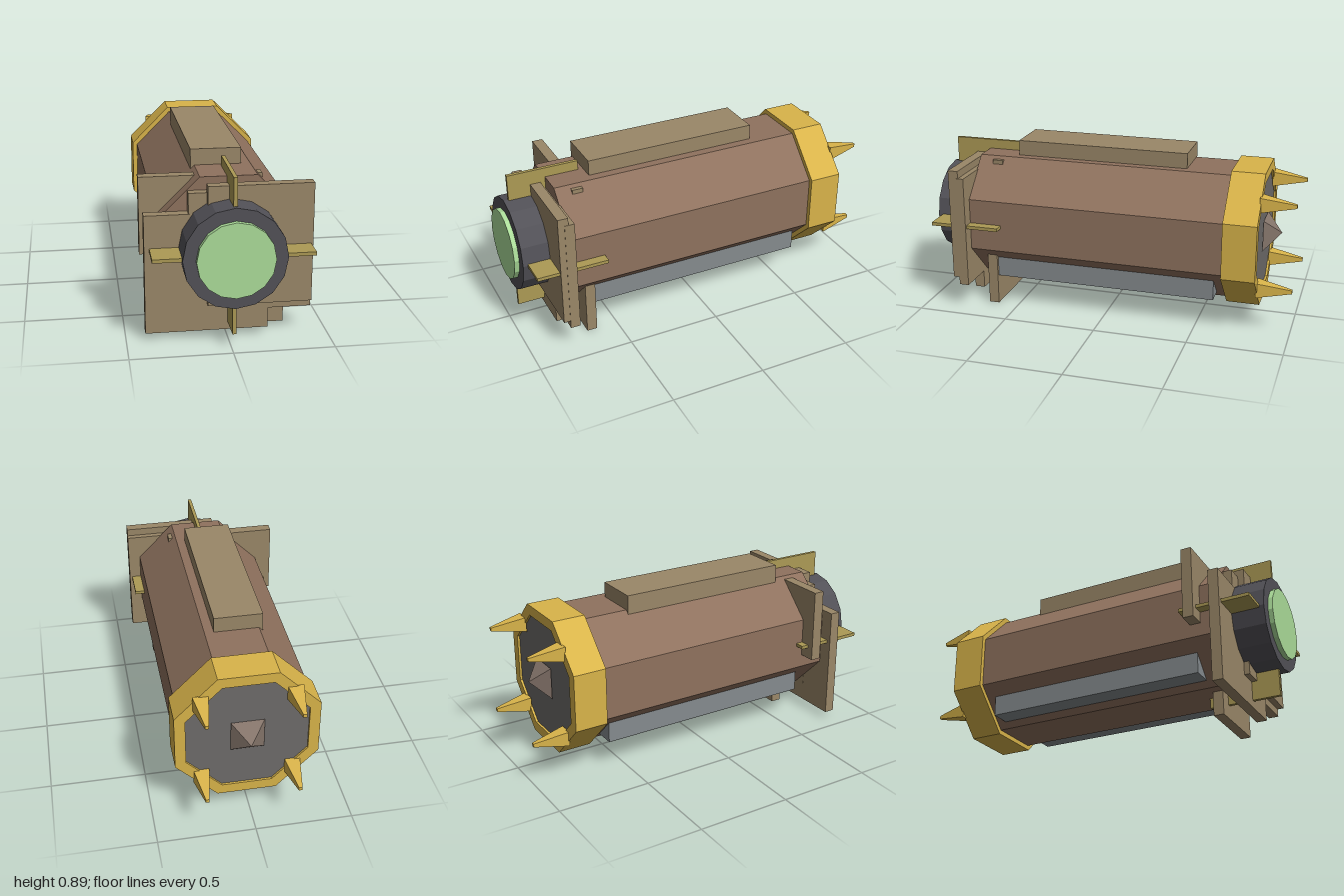
import * as THREE from 'three';

const CX = 0.012, CY = 0.47; // long axis of the barrel

const COLORS = {
  brown: 0x8f725e, tan: 0x9a8768, gold: 0xd9b44a, brass: 0xac9a55,
  dark: 0x525157, green: 0xacdd9a, endGrey: 0x6e6c6a, rail: 0x858b8e, stone: 0x84746a,
};
const materials = {};
for (const key in COLORS) {
  materials[key] = new THREE.MeshStandardMaterial({ color: COLORS[key], flatShading: true });
}

export function createModel() {
  const model = new THREE.Group();

  const add = (name, geometry, color) => {
    const mesh = new THREE.Mesh(geometry, materials[color]);
    mesh.name = name;
    model.add(mesh);
    return mesh;
  };

  // Box given by its limits on each axis
  const box = (name, color, [x0, x1], [y0, y1], [z0, z1]) => {
    const mesh = add(name, new THREE.BoxGeometry(x1 - x0, y1 - y0, z1 - z0), color);
    mesh.position.set((x0 + x1) / 2, (y0 + y1) / 2, (z0 + z1) / 2);
  };

  // Prism or frustum along z; flat = true puts faces (not corners) on the axes
  const prism = (name, color, sides, rFront, rBack, zFront, zBack, flat, x = CX, y = CY) => {
    const k = flat ? 1 / Math.cos(Math.PI / sides) : 1;
    const start = flat ? Math.PI / sides : 0;
    const geometry = new THREE.CylinderGeometry(rFront * k, rBack * k, zFront - zBack, sides, 1, false, start);
    geometry.rotateX(Math.PI / 2);
    add(name, geometry, color).position.set(x, y, (zFront + zBack) / 2);
  };

  // Octagonal barrel, recessed end disc and central point
  prism('barrel', 'brown', 8, 0.34, 0.34, 0.75, -0.7, true);
  prism('endDisc', 'endGrey', 8, 0.312, 0.312, -0.69, -0.81, true);
  prism('endPoint', 'stone', 4, 0.085, 0, -0.815, -0.905, true);

  // Gold collar around the back end
  const octagon = (Type, apothem) => {
    const shape = new Type();
    const r = apothem / Math.cos(Math.PI / 8);
    shape.setFromPoints(Array.from({ length: 8 }, (_, i) => {
      const a = Math.PI / 8 + i * Math.PI / 4;
      return new THREE.Vector2(Math.cos(a) * r, Math.sin(a) * r);
    }));
    shape.closePath();
    return shape;
  };
  const collar = octagon(THREE.Shape, 0.365);
  collar.holes.push(octagon(THREE.Path, 0.31));
  add('collar', new THREE.ExtrudeGeometry(collar, { depth: 0.177, bevelEnabled: false }), 'gold')
    .position.set(CX, CY, -0.822);

  // Four spikes on the collar
  for (const sx of [-1, 1]) {
    for (const sy of [-1, 1]) {
      prism('spike', 'gold', 4, 0.04, 0.009, -0.815, -1, true, CX + sx * 0.233, CY + sy * 0.233);
    }
  }

  // Top block and the two rails under the barrel
  box('topBlock', 'tan', [-0.148, 0.105], [0.78, 0.892], [-0.4, 0.543]);
  for (const s of [-1, 1]) {
    const edges = [CX + s * 0.1, CX + s * 0.281].sort((a, b) => a - b);
    box('rail', 'rail', edges, [0.16, 0.29], [-0.595, 0.62]);
  }

  // Overlapping plates near the front
  box('frontPlate', 'tan', [-0.1, 0.415], [0.177, 0.785], [0.776, 0.831]);
  box('middlePlate', 'tan', [-0.19, 0.417], [0.135, 0.745], [0.745, 0.797]);
  box('lowerPlate', 'tan', [-0.405, 0.203], [0.035, 0.643], [0.747, 0.802]);
  box('upperBackPlate', 'tan', [-0.418, 0.19], [0.4, 0.795], [0.61, 0.667]);
  box('lowerBackPlate', 'tan', [-0.07, 0.309], [0, 0.39], [0.615, 0.67]);

  // Lens housing, lens and crossed fins
  prism('lensHousing', 'dark', 16, 0.252, 0.252, 0.975, 0.74, false);
  prism('lens', 'green', 16, 0.189, 0.189, 1, 0.93, false);
  box('horizontalFin', 'brass', [-0.38, 0.404], [0.46, 0.478], [0.57, 0.95]);
  box('verticalFin', 'brass', [0.002, 0.021], [0.075, 0.861], [0.57, 0.95]);

  return model;
}
